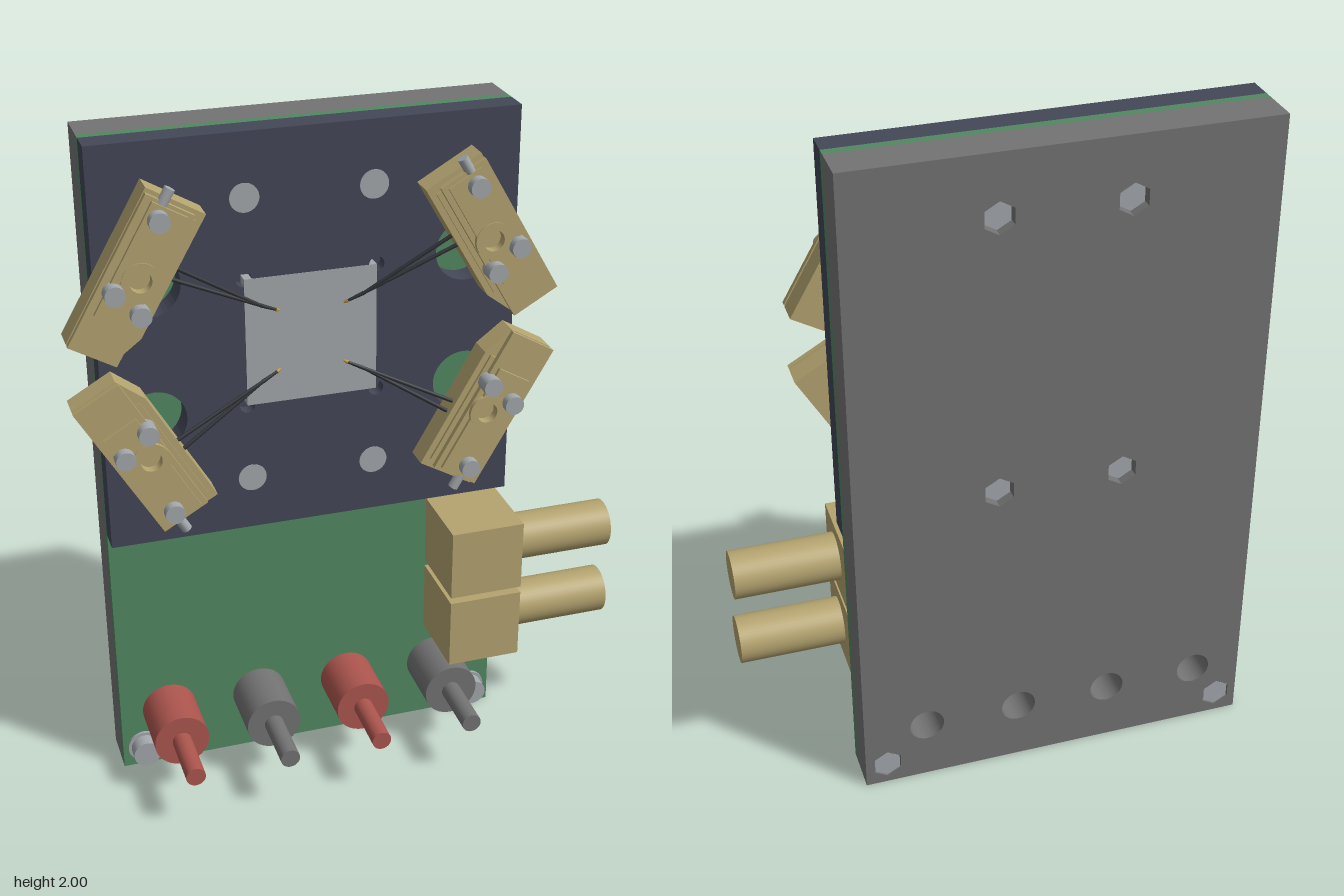
import * as THREE from 'three';

const material = (name, color) => {
  const m = new THREE.MeshStandardMaterial({ color });
  m.name = name;
  return m;
};

export function createModel() {
  const model = new THREE.Group();
  model.name = 'probeTestFixture';
  const navy = material('navy plate', 0x434757);
  const green = material('green circuit board', 0x528862);
  const grey = material('grey base', 0x737373);
  const red = material('red plug', 0xac554e);
  const brass = material('brass', 0xb5a470);
  const silver = material('light metal', 0xa3a8ac);
  const dark = material('dark needle', 0x2f3136);
  const gold = material('gold tip', 0xc79a3c);

  const add = (parent, name, geometry, mat) => {
    const mesh = new THREE.Mesh(geometry, mat);
    mesh.name = name;
    parent.add(mesh);
    return mesh;
  };
  // Box given by its limits on each axis
  const box = (parent, name, mat, x0, x1, y0, y1, z0, z1) => {
    const m = add(parent, name, new THREE.BoxGeometry(x1 - x0, y1 - y0, z1 - z0), mat);
    m.position.set((x0 + x1) / 2, (y0 + y1) / 2, (z0 + z1) / 2);
    return m;
  };
  // Cylinder along z
  const rod = (parent, name, mat, x, y, r, z0, z1, sides = 32) => {
    const g = new THREE.CylinderGeometry(r, r, z1 - z0, sides).rotateX(Math.PI / 2);
    const m = add(parent, name, g, mat);
    m.position.set(x, y, (z0 + z1) / 2);
    return m;
  };
  // Thin cylinder or cone between two points
  const bar = (parent, name, mat, a, b, ra, rb, sides = 10) => {
    const d = b.clone().sub(a);
    const m = add(parent, name, new THREE.CylinderGeometry(rb, ra, d.length(), sides), mat);
    m.position.copy(a).add(b).multiplyScalar(0.5);
    m.quaternion.setFromUnitVectors(new THREE.Vector3(0, 1, 0), d.normalize());
    return m;
  };
  const rect = (x0, x1, y0, y1) => new THREE.Shape([
    new THREE.Vector2(x0, y0), new THREE.Vector2(x1, y0),
    new THREE.Vector2(x1, y1), new THREE.Vector2(x0, y1)]);
  const roundHole = (x, y, r) => new THREE.Path().absarc(x, y, r, 0, Math.PI * 2, true);
  const hexHole = (x, y, r) => new THREE.Path([0, 1, 2, 3, 4, 5].map((i) => {
    const a = Math.PI / 2 - i * Math.PI / 3;
    return new THREE.Vector2(x + r * Math.cos(a), y + r * Math.sin(a));
  }));
  const plate = (parent, name, mat, shape, z0, z1) => {
    const m = add(parent, name, new THREE.ExtrudeGeometry(shape,
      { depth: z1 - z0, bevelEnabled: false, curveSegments: 20 }), mat);
    m.position.z = z0;
    return m;
  };

  const L = -0.705, R = 0.487, CX = -0.11, CY = 1.402;
  const plugX = [-0.555, -0.272, 0.01, 0.295], plugY = 0.19;
  const plateScrews = [[-0.29, 1.82], [0.07, 1.82], [-0.29, 0.985], [0.07, 0.985]];
  const cornerScrews = [[-0.64, 0.068], [0.42, 0.068]];

  // Base with plug holes and hexagonal nut pockets
  const base = rect(L, R, 0, 2);
  plugX.forEach((x) => base.holes.push(roundHole(x, plugY, 0.052)));
  [...plateScrews, ...cornerScrews].forEach(([x, y]) => base.holes.push(hexHole(x, y, 0.047)));
  plate(model, 'basePlate', grey, base, -0.25, -0.134);
  box(model, 'circuitBoard', green, L, R, 0, 2, -0.134, -0.107);

  // Upper plate with a square pocket relieved at its corners
  const half = 0.188, relief = 0.022;
  const upper = rect(L, R, 0.825, 2);
  const pocket = new THREE.Path();
  [[1, 1], [1, -1], [-1, -1], [-1, 1]].forEach(([sx, sy], i) => {
    const start = Math.PI - i * Math.PI / 2;
    pocket.absarc(CX + sx * half, CY + sy * half, relief, start, start - Math.PI * 1.5, true);
  });
  upper.holes.push(pocket);
  for (const sx of [-1, 1]) for (const sy of [-1, 1]) {
    upper.holes.push(roundHole(CX + sx * 0.45, CY + sy * 0.2, 0.09));
  }
  plate(model, 'upperPlate', navy, upper, -0.107, -0.033);
  box(model, 'pocketFloor', navy, CX - 0.23, CX + 0.23, CY - 0.23, CY + 0.23, -0.107, -0.07);
  box(model, 'chip', silver, CX - half, CX + half, CY - half, CY + half, -0.07, -0.032);

  // Fasteners with nuts at the back
  const nut = (x, y, z0) => rod(model, 'hexNut', silver, x, y, 0.044, z0, -0.134, 6);
  plateScrews.forEach(([x, y]) => {
    rod(model, 'plateScrew', silver, x, y, 0.041, -0.06, -0.031);
    nut(x, y, -0.225);
  });
  cornerScrews.forEach(([x, y]) => {
    rod(model, 'cornerScrew', silver, x, y, 0.041, -0.107, -0.055);
    rod(model, 'cornerWasher', silver, x, y, 0.05, -0.107, -0.098);
    nut(x, y, -0.247);
  });

  // Plugs
  plugX.forEach((x, i) => {
    const mat = i % 2 ? grey : red;
    rod(model, 'plugBody', mat, x, plugY, 0.082, -0.107, 0.07, 40);
    rod(model, 'plugPin', mat, x, plugY, 0.029, 0.07, 0.25, 24);
  });

  // Side connectors
  [[0.328, 0.545, 0.436], [0.565, 0.782, 0.674]].forEach(([y0, y1, y]) => {
    box(model, 'connectorBlock', brass, 0.265, R, y0, y1, -0.107, 0.126);
    bar(model, 'connectorBarrel', brass, new THREE.Vector3(R, y, 0.012),
      new THREE.Vector3(0.795, y, 0.012), 0.071, 0.071, 40);
  });

  // Probe head: x runs along the head, y points toward the chip
  const probeHead = () => {
    const g = new THREE.Group();
    g.name = 'probeHead';
    const body = new THREE.Shape([[0, 0.0], [0.465, 0.0], [0.465, 0.178], [0.09, 0.178], [0, 0.14]]
      .map(([x, y]) => new THREE.Vector2(x, y)));
    plate(g, 'headBody', brass, body, -0.03, 0.042);
    const cover = rect(0.0, 0.455, 0, 0.145);
    cover.holes.push(roundHole(0.241, 0.092, 0.05));
    plate(g, 'headCover', brass, cover, 0.05, 0.066);
    box(g, 'coverSpacer', brass, 0.09, 0.44, 0.012, 0.16, 0.042, 0.05);
    const clamp = rect(0.11, 0.445, 0.022, 0.128);
    clamp.holes.push(roundHole(0.241, 0.092, 0.033));
    plate(g, 'clampPlate', brass, clamp, 0.066, 0.076);
    const ring = new THREE.Shape().absarc(0.241, 0.092, 0.052, 0, Math.PI * 2);
    ring.holes.push(roundHole(0.241, 0.092, 0.03));
    plate(g, 'adjusterRing', brass, ring, 0.045, 0.079);
    [[0.408, 0.057], [0.185, 0.04], [0.161, 0.13]].forEach(([x, y]) =>
      rod(g, 'headScrew', silver, x, y, 0.028, 0.05, 0.104, 20));
    bar(g, 'endScrew', silver, new THREE.Vector3(0.44, 0.053, 0.058),
      new THREE.Vector3(0.492, 0.053, 0.058), 0.015, 0.015, 14);
    // Needle pair converging on the tip
    const neck = new THREE.Vector3(0.284, 0.46, -0.018);
    const tip = new THREE.Vector3(0.288, 0.508, -0.026);
    [0.262, 0.298].forEach((x) => bar(g, 'needleArm', dark,
      new THREE.Vector3(x, 0.15, 0.022), neck, 0.006, 0.005, 8));
    bar(g, 'needle', dark, neck, tip, 0.006, 0.004, 8);
    bar(g, 'needleTip', gold, tip, new THREE.Vector3(0.289, 0.52, -0.031), 0.006, 0.003, 8);
    return g;
  };
  for (const sx of [-1, 1]) for (const sy of [-1, 1]) {
    const mirror = new THREE.Group();
    mirror.name = (sy > 0 ? 'upper' : 'lower') + (sx > 0 ? 'Left' : 'Right') + 'Probe';
    const head = probeHead();
    head.position.set(0.577 - CX, 1.5 - CY, 0);
    head.rotation.z = Math.PI * 2 / 3;
    mirror.add(head);
    mirror.position.set(CX, CY, 0);
    mirror.scale.set(sx, sy, 1);
    model.add(mirror);
  }
  return model;
}
